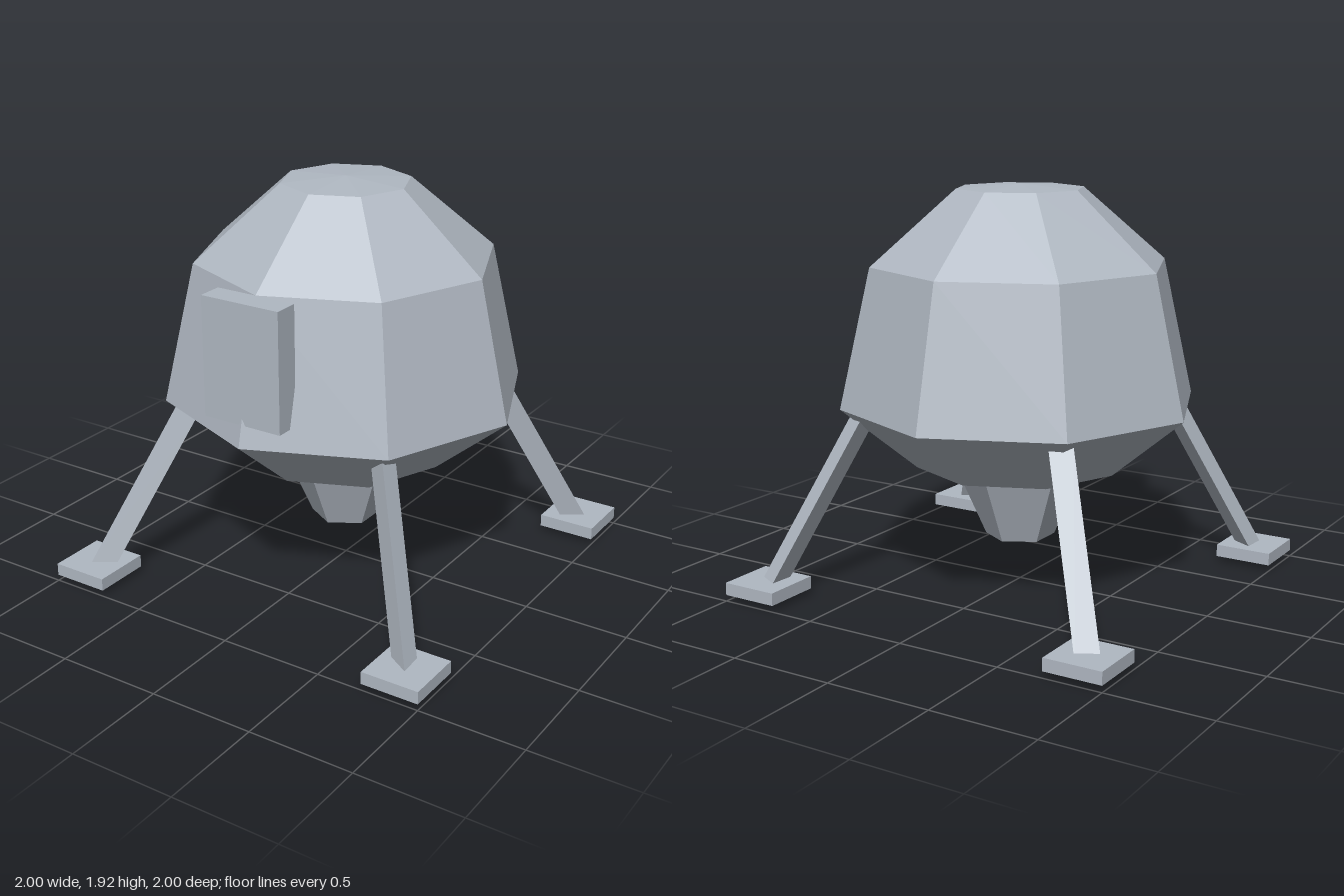
import * as THREE from 'three';

export function createModel() {
  const model = new THREE.Group();
  const hull = new THREE.MeshStandardMaterial({ color: 0xb0b8c2, flatShading: true, side: THREE.DoubleSide });
  hull.name = 'hullGrey';

  const add = (name, geometry, x = 0, y = 0, z = 0) => {
    const mesh = new THREE.Mesh(geometry, hull);
    mesh.name = name;
    mesh.position.set(x, y, z);
    model.add(mesh);
    return mesh;
  };

  // Eight-sided cabin, open underneath
  const profile = [[0.5, 0.59], [0.86, 0.89], [0.71, 1.55], [0.305, 1.9], [0, 1.92]];
  add('cabin', new THREE.LatheGeometry(profile.map(([r, y]) => new THREE.Vector2(r, y)), 8));

  // Six-sided engine nozzle
  add('nozzle', new THREE.CylinderGeometry(0.325, 0.165, 0.36, 6), 0, 0.41, 0);

  // Hatch on the front ridge
  add('hatch', new THREE.BoxGeometry(0.4, 0.56, 0.12), 0, 1.27, 0.77);

  // Four splayed three-sided legs on square foot pads
  const up = new THREE.Vector3(0, 1, 0);
  for (const sx of [-1, 1]) {
    for (const sz of [-1, 1]) {
      const name = (sz > 0 ? 'front' : 'back') + (sx > 0 ? 'Left' : 'Right');
      const top = new THREE.Vector3(sx * 0.535, 0.845, sz * 0.535);
      const foot = new THREE.Vector3(sx * 0.86, 0.03, sz * 0.86);
      const axis = top.clone().sub(foot);
      const mid = top.clone().add(foot).multiplyScalar(0.5);
      const twist = -sx * sz * Math.PI / 2;
      const leg = add(name + 'Leg',
        new THREE.CylinderGeometry(0.063, 0.063, axis.length(), 3, 1, false, twist), mid.x, mid.y, mid.z);
      leg.quaternion.setFromUnitVectors(up, axis.normalize());
      add(name + 'FootPad', new THREE.BoxGeometry(0.28, 0.06, 0.28), sx * 0.86, 0.06, sz * 0.86);
    }
  }
  return model;
}
